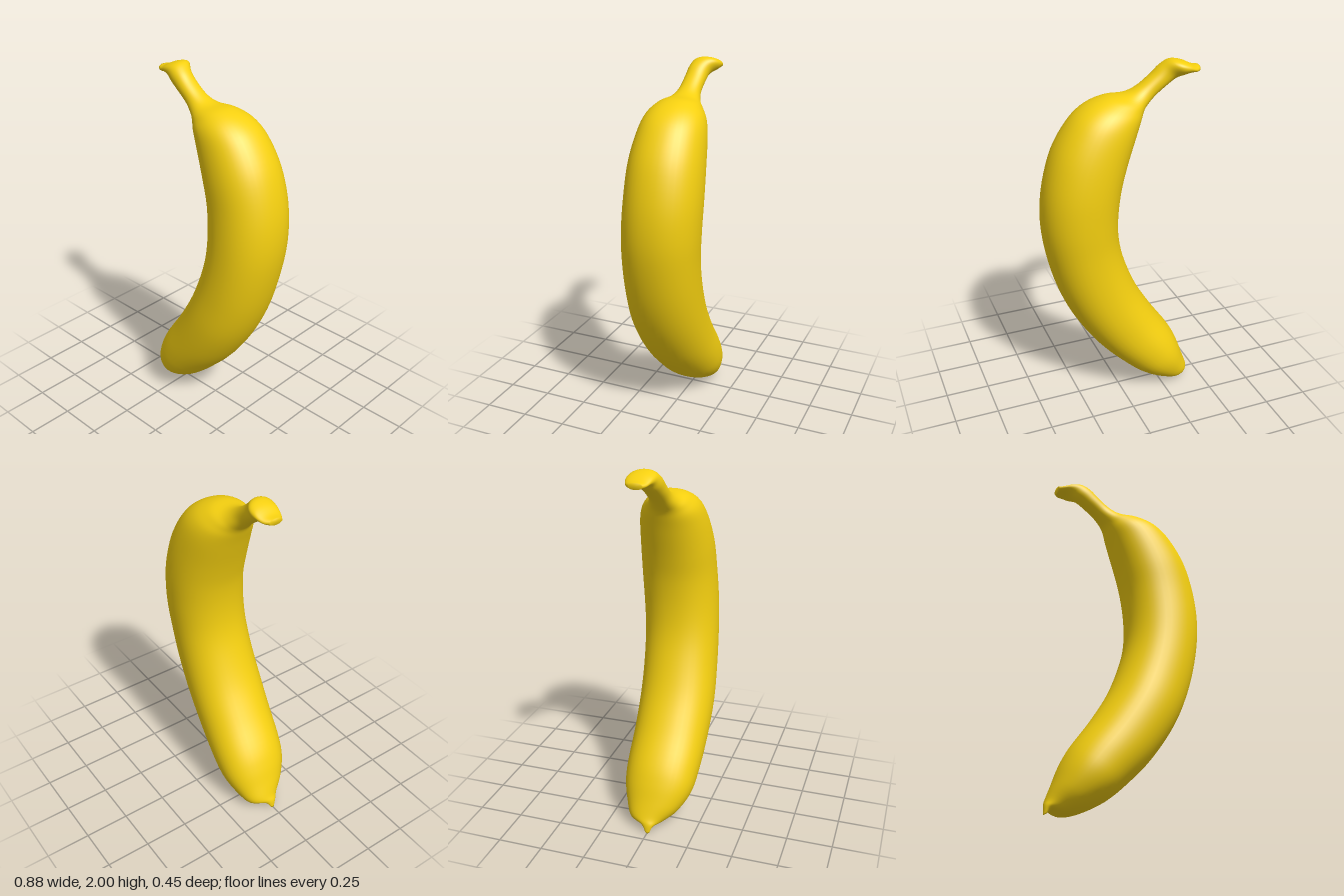
import * as THREE from 'three';

// Cross-sections from blossom tip to stalk end:
// inner edge x, y, outer edge x, y, centre z, half width in z
const SECTIONS = [
  [-0.443, 0.003, -0.425, 0.012, 0, 0.012],
  [-0.438, 0.05, -0.4, 0.03, -0.005, 0.035],
  [-0.423, 0.09, -0.33, 0.012, -0.025, 0.09],
  [-0.395, 0.17, -0.24, 0.035, -0.01, 0.145],
  [-0.36, 0.27, -0.12, 0.1, 0, 0.19],
  [-0.31, 0.37, -0.01, 0.195, 0.005, 0.205],
  [-0.2, 0.53, 0.13, 0.345, 0.012, 0.21],
  [-0.1, 0.7, 0.26, 0.54, 0.014, 0.213],
  [-0.03, 0.87, 0.35, 0.74, 0.008, 0.211],
  [0.01, 1.02, 0.41, 0.96, 0, 0.21],
  [0.02, 1.17, 0.437, 1.16, -0.01, 0.211],
  [0.005, 1.33, 0.425, 1.36, -0.018, 0.208],
  [-0.03, 1.47, 0.37, 1.56, -0.018, 0.2],
  [-0.08, 1.62, 0.28, 1.71, -0.018, 0.18],
  [-0.11, 1.7, 0.19, 1.79, -0.015, 0.155],
  [-0.13, 1.745, 0.08, 1.832, -0.012, 0.115],
  [-0.155, 1.775, -0.03, 1.838, -0.01, 0.08],
  [-0.2, 1.815, -0.1, 1.865, -0.01, 0.06],
  [-0.26, 1.86, -0.175, 1.92, -0.012, 0.057],
  [-0.31, 1.895, -0.225, 1.967, -0.018, 0.06],
  [-0.345, 1.915, -0.275, 1.998, -0.04, 0.073],
  [-0.375, 1.925, -0.335, 1.99, -0.047, 0.07],
  [-0.405, 1.925, -0.39, 1.965, -0.047, 0.056],
  [-0.425, 1.925, -0.428, 1.958, -0.043, 0.035],
];
const STEPS = 5; // rings per section
const SIDES = 40;
const RINGS = (SECTIONS.length - 1) * STEPS + 1;

const curve = (pick) => new THREE.CatmullRomCurve3(
  SECTIONS.map((s) => new THREE.Vector3(...pick(s))), false, 'catmullrom', 0.5);

// Slightly squared ellipse, for the soft ridges of the peel
const soften = (v) => Math.sign(v) * Math.abs(v) ** 0.94;

function createLoft() {
  const inner = curve((s) => [s[0], s[1], s[4]]);
  const outer = curve((s) => [s[2], s[3], s[4]]);
  const width = curve((s) => [s[5], 0, 0]);
  const positions = [];
  const centres = [];
  for (let i = 0; i < RINGS; i++) {
    const t = i / (RINGS - 1);
    const a = inner.getPoint(t);
    const b = outer.getPoint(t);
    const w = width.getPoint(t).x;
    const centre = a.clone().add(b).multiplyScalar(0.5);
    const half = b.sub(a).multiplyScalar(0.5);
    centres.push(centre);
    for (let j = 0; j < SIDES; j++) {
      const angle = (j / SIDES) * Math.PI * 2;
      const p = centre.clone().addScaledVector(half, soften(Math.cos(angle)));
      positions.push(p.x, p.y, p.z + w * soften(Math.sin(angle)));
    }
  }
  // Cap centres
  positions.push(...centres[0].toArray(), ...centres[RINGS - 1].toArray());
  return positions;
}

// Triangles between two rings, with a cap where the part reaches an end
function skin(from, to) {
  const index = [];
  const id = (i, j) => i * SIDES + (j % SIDES);
  for (let j = 0; j < SIDES; j++) {
    for (let i = from; i < to; i++) {
      index.push(id(i, j), id(i + 1, j), id(i, j + 1));
      index.push(id(i + 1, j), id(i + 1, j + 1), id(i, j + 1));
    }
    if (from === 0) index.push(RINGS * SIDES, id(0, j), id(0, j + 1));
    if (to === RINGS - 1) index.push(RINGS * SIDES + 1, id(to, j + 1), id(to, j));
  }
  return index;
}

export function createModel() {
  const group = new THREE.Group();
  group.name = 'banana';
  const material = new THREE.MeshStandardMaterial({ color: 0xf5d010 });

  // One continuous surface, so normals stay smooth across the parts
  const whole = new THREE.BufferGeometry();
  whole.setAttribute('position', new THREE.Float32BufferAttribute(createLoft(), 3));
  whole.setIndex(skin(0, RINGS - 1));
  whole.computeVertexNormals();

  const parts = [['blossomTip', 0, 2], ['fruit', 2, 16], ['stalk', 16, SECTIONS.length - 1]];
  for (const [name, from, to] of parts) {
    const geometry = new THREE.BufferGeometry();
    geometry.setAttribute('position', whole.attributes.position);
    geometry.setAttribute('normal', whole.attributes.normal);
    geometry.setIndex(skin(from * STEPS, to * STEPS));
    const mesh = new THREE.Mesh(geometry, material);
    mesh.name = name;
    group.add(mesh);
  }
  return group;
}
